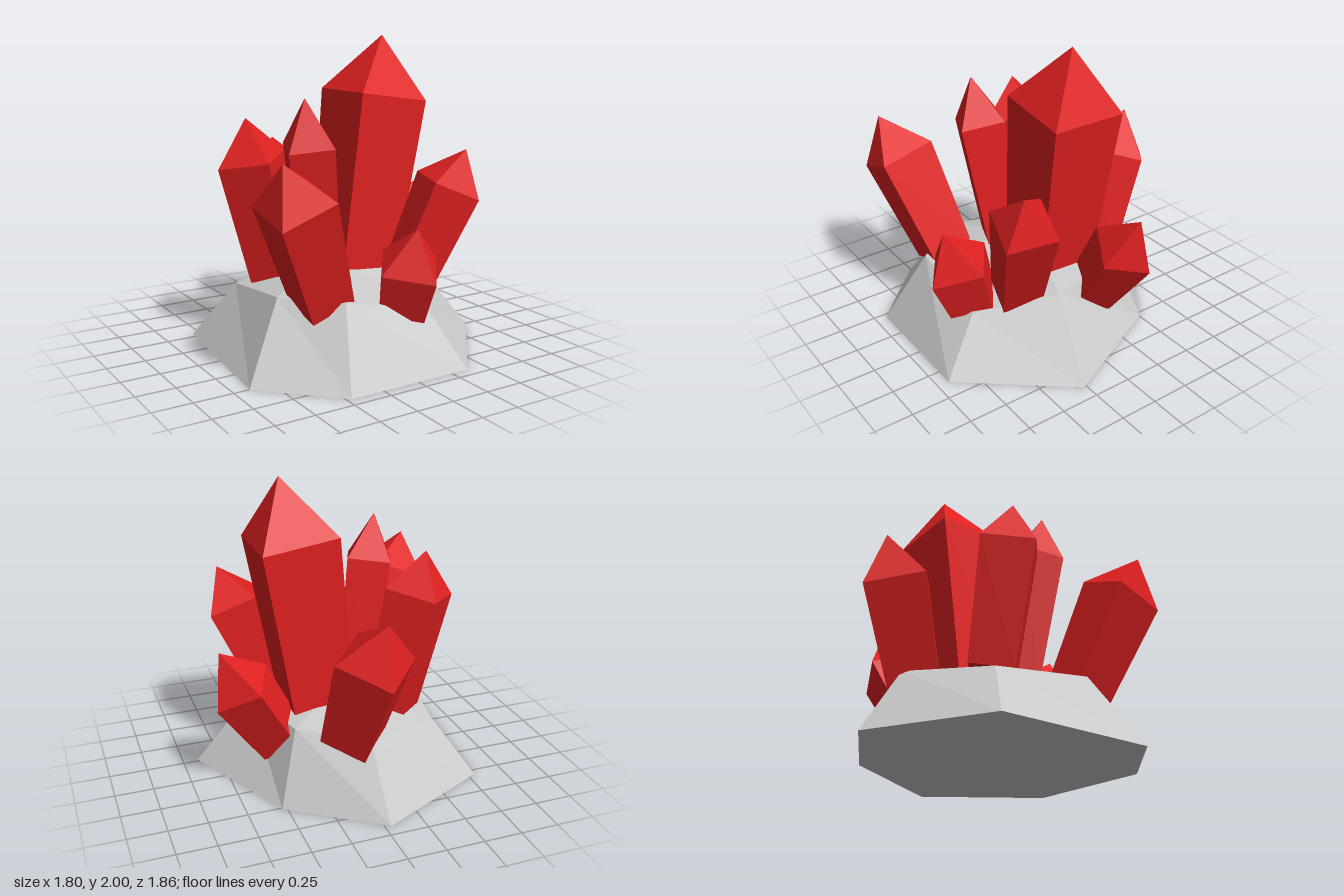
import * as THREE from 'three';

const rockMaterial = new THREE.MeshStandardMaterial({ color: 0xcccccc, flatShading: true });
const crystalMaterial = new THREE.MeshStandardMaterial({ color: 0xe02020, flatShading: true });

const vec = (p) => new THREE.Vector3(...p);

// Faceted solid: walls between two rings, a flat bottom and a fan up to an apex.
// Rings run from +x towards +z.
function facetedSolid(lower, upper, apex) {
  const points = [];
  const n = lower.length;
  for (let i = 0; i < n; i++) {
    const j = (i + 1) % n;
    points.push(lower[i], upper[i], upper[j], lower[i], upper[j], lower[j]);
    points.push(upper[i], apex, upper[j]);
    if (i > 0 && j > 0) points.push(lower[0], lower[i], lower[j]);
  }
  const geometry = new THREE.BufferGeometry().setFromPoints(points);
  geometry.computeVertexNormals();
  return geometry;
}

// Square ring around a centre, square to the axis and twisted about it
function squareRing(center, half, axis, twist) {
  const tilt = new THREE.Quaternion().setFromUnitVectors(new THREE.Vector3(0, 1, 0), axis);
  return [0, 1, 2, 3].map((k) => {
    const a = THREE.MathUtils.degToRad(twist + 45 + 90 * k);
    const r = half * Math.SQRT2;
    return new THREE.Vector3(Math.cos(a) * r, 0, Math.sin(a) * r).applyQuaternion(tilt).add(center);
  });
}

function crystal({ name, foot, footHalf, shoulder, half, tip, twist }) {
  const axis = vec(tip).sub(vec(foot)).normalize();
  const lower = squareRing(vec(foot), footHalf, axis, twist);
  const upper = squareRing(vec(shoulder), half, axis, twist);
  const mesh = new THREE.Mesh(facetedSolid(lower, upper, vec(tip)), crystalMaterial);
  mesh.name = name;
  return mesh;
}

const crystals = [
  { name: 'tallCrystal', foot: [0.13, 0.42, -0.01], footHalf: 0.2, shoulder: [0.295, 1.615, -0.01], half: 0.248, tip: [0.36, 2, -0.01], twist: 0 },
  { name: 'backCrystal', foot: [0.05, 0.4, -0.47], footHalf: 0.155, shoulder: [-0.015, 1.0, -0.68], half: 0.19, tip: [-0.05, 1.27, -0.79], twist: 42 },
  { name: 'backRightCrystal', foot: [-0.34, 0.45, -0.19], footHalf: 0.14, shoulder: [-0.51, 1.22, -0.2], half: 0.17, tip: [-0.55, 1.49, -0.2], twist: 45 },
  { name: 'middleCrystal', foot: [-0.2, 0.48, 0.12], footHalf: 0.12, shoulder: [-0.325, 1.345, 0.21], half: 0.142, tip: [-0.37, 1.64, 0.24], twist: 22 },
  { name: 'frontRightCrystal', foot: [-0.4, 0.44, 0.48], footHalf: 0.145, shoulder: [-0.67, 1.09, 0.64], half: 0.182, tip: [-0.78, 1.34, 0.71], twist: 2 },
  { name: 'frontSmallCrystal', foot: [0.12, 0.35, 0.58], footHalf: 0.14, shoulder: [0.11, 0.625, 0.665], half: 0.165, tip: [0.1, 0.88, 0.76], twist: 35 },
  { name: 'frontLeftCrystal', foot: [0.3, 0.42, 0.36], footHalf: 0.128, shoulder: [0.55, 1.055, 0.47], half: 0.162, tip: [0.645, 1.29, 0.53], twist: 15 },
  { name: 'backLeftCrystal', foot: [0.41, 0.28, -0.15], footHalf: 0.125, shoulder: [0.68, 0.72, -0.19], half: 0.155, tip: [0.82, 0.985, -0.2], twist: 25 },
];

export function createModel() {
  const group = new THREE.Group();
  group.name = 'crystalCluster';

  // Seven-sided rock with a low peak
  const rockFoot = [[0.9, 0, 0.27], [0.37, 0, 0.925], [-0.47, 0, 0.925], [-0.9, 0, 0.5],
    [-0.8, 0, -0.55], [-0.04, 0, -0.915], [0.53, 0, -0.51]];
  const rockRim = [[0.54, 0.465, 0.2], [0.25, 0.345, 0.66], [-0.34, 0.465, 0.66], [-0.62, 0.465, 0.33],
    [-0.56, 0.37, -0.37], [-0.02, 0.43, -0.62], [0.39, 0.465, -0.36]];
  const rock = new THREE.Mesh(
    facetedSolid(rockFoot.map(vec), rockRim.map(vec), vec([-0.07, 0.575, 0])), rockMaterial);
  rock.name = 'rockBase';
  group.add(rock);

  for (const spec of crystals) group.add(crystal(spec));
  return group;
}
